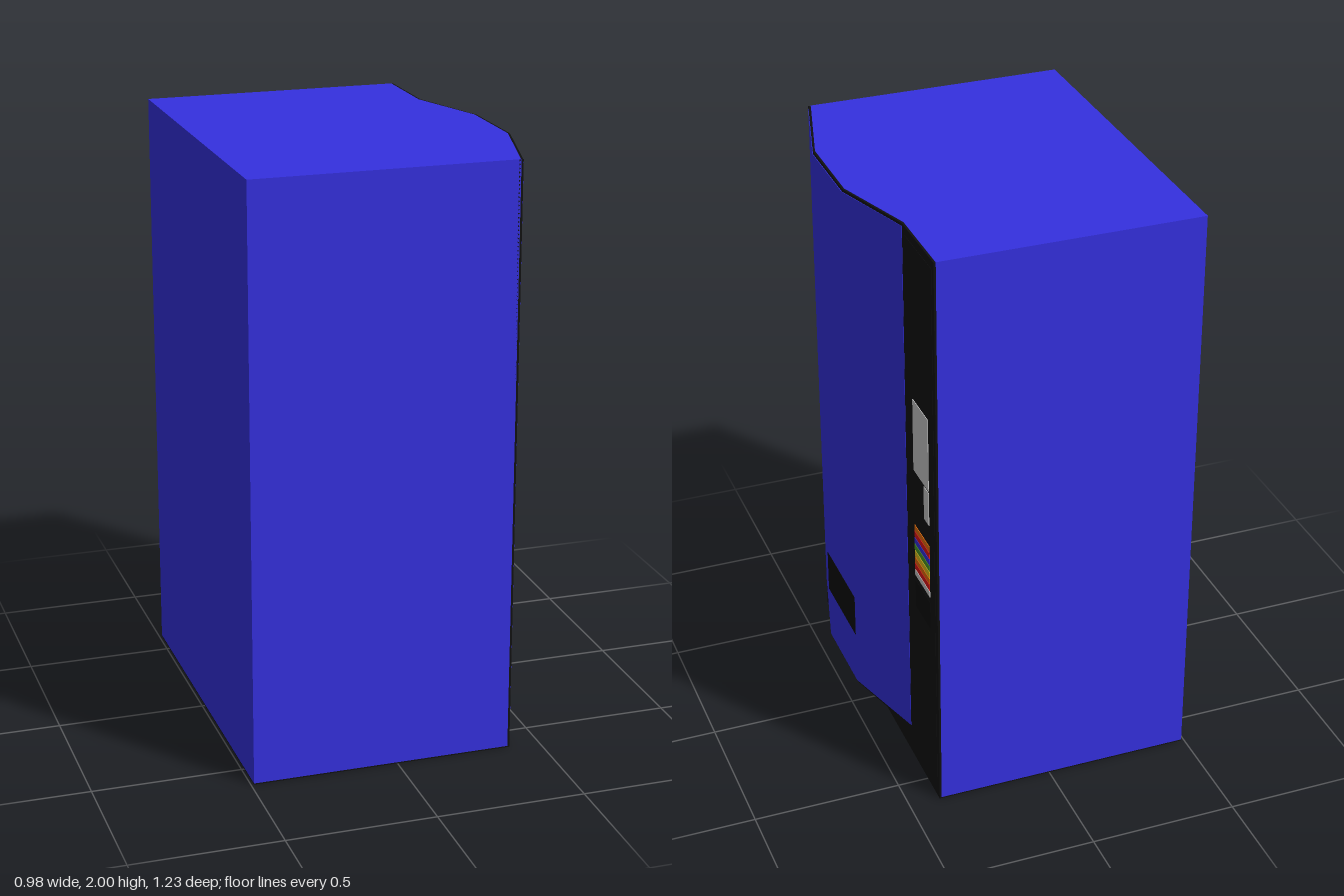
import * as THREE from 'three';

const mat = (color) => new THREE.MeshStandardMaterial({ color, flatShading: true });
const blue = mat(0x3530e0), black = mat(0x101010), dark = mat(0x0a0a0a), grey = mat(0xcccccc);

export function createModel() {
  const model = new THREE.Group();

  const add = (name, geometry, material) => {
    const mesh = new THREE.Mesh(geometry, material);
    mesh.name = name;
    model.add(mesh);
  };

  // Box given by its limits on each axis
  const slab = (name, material, x0, x1, y0, y1, z0, z1) => {
    const g = new THREE.BoxGeometry(x1 - x0, y1 - y0, z1 - z0);
    g.translate((x0 + x1) / 2, (y0 + y1) / 2, (z0 + z1) / 2);
    add(name, g, material);
  };

  // Plan outline of [x, z] points raised from y0 to y1; the underside climbs towards the door front
  const prism = (name, material, points, y0, y1, slope = 0) => {
    const shape = new THREE.Shape(points.map(([x, z]) => new THREE.Vector2(x, -z)));
    const g = new THREE.ExtrudeGeometry(shape, { depth: y1 - y0, bevelEnabled: false });
    g.rotateX(-Math.PI / 2).translate(0, y0, 0);
    const p = g.attributes.position;
    for (let i = 0; i < p.count; i++) {
      if (p.getY(i) < y0 + 0.001) p.setY(i, y0 + Math.max(0, p.getX(i) - 0.39) * slope);
    }
    g.computeVertexNormals();
    add(name, g, material);
  };

  // Cabinet with its black underside and front frame
  slab('cabinet', blue, -0.49, 0.387, 0.004, 2, -0.615, 0.615);
  slab('underside', black, -0.49, 0.387, 0, 0.004, -0.615, 0.615);
  slab('frontFrame', black, 0.387, 0.394, 0, 1.999, -0.615, 0.615);

  // Faceted door: black core, blue skin and blue top
  const doorPlan = (inset, end) => [
    [0.38, 0.615 - end], [0.395 - inset, 0.615 - end], [0.49 - inset, 0.262],
    [0.49 - inset, -0.038], [0.395 - inset, -0.335 + end], [0.38, -0.335 + end],
  ];
  prism('doorCore', black, doorPlan(0.002, 0), 0.095, 1.999, 0.15);
  prism('doorSkin', blue, doorPlan(0, 0.002), 0.105, 1.99, 0.1);
  prism('doorTop', blue, doorPlan(0.009, 0.004), 1.98, 2);

  // Delivery slot
  slab('deliverySlot', dark, 0.47, 0.491, 0.31, 0.465, -0.038, 0.262);

  // Control strip with display, coin plate and coin return
  slab('controlPanel', black, 0.39, 0.395, 0.03, 1.97, -0.595, -0.36);
  slab('display', grey, 0.39, 0.397, 1.172, 1.43, -0.55, -0.41);
  slab('coinPlate', grey, 0.39, 0.397, 1.045, 1.165, -0.55, -0.505);
  slab('coinReturn', dark, 0.39, 0.396, 0.65, 0.75, -0.55, -0.41);

  // Selection buttons, top to bottom
  const colors = [0xe8700c, 0xe01818, 0x3530e0, 0x4c9a2a, 0xe0c020, 0xe8700c, 0xe01818, 0xcccccc];
  colors.forEach((color, i) => {
    const top = 0.966 - i * 0.0246;
    slab('selectionButton' + (i + 1), mat(color), 0.39, 0.397, top - 0.0215, top, -0.55, -0.41);
  });

  return model;
}
